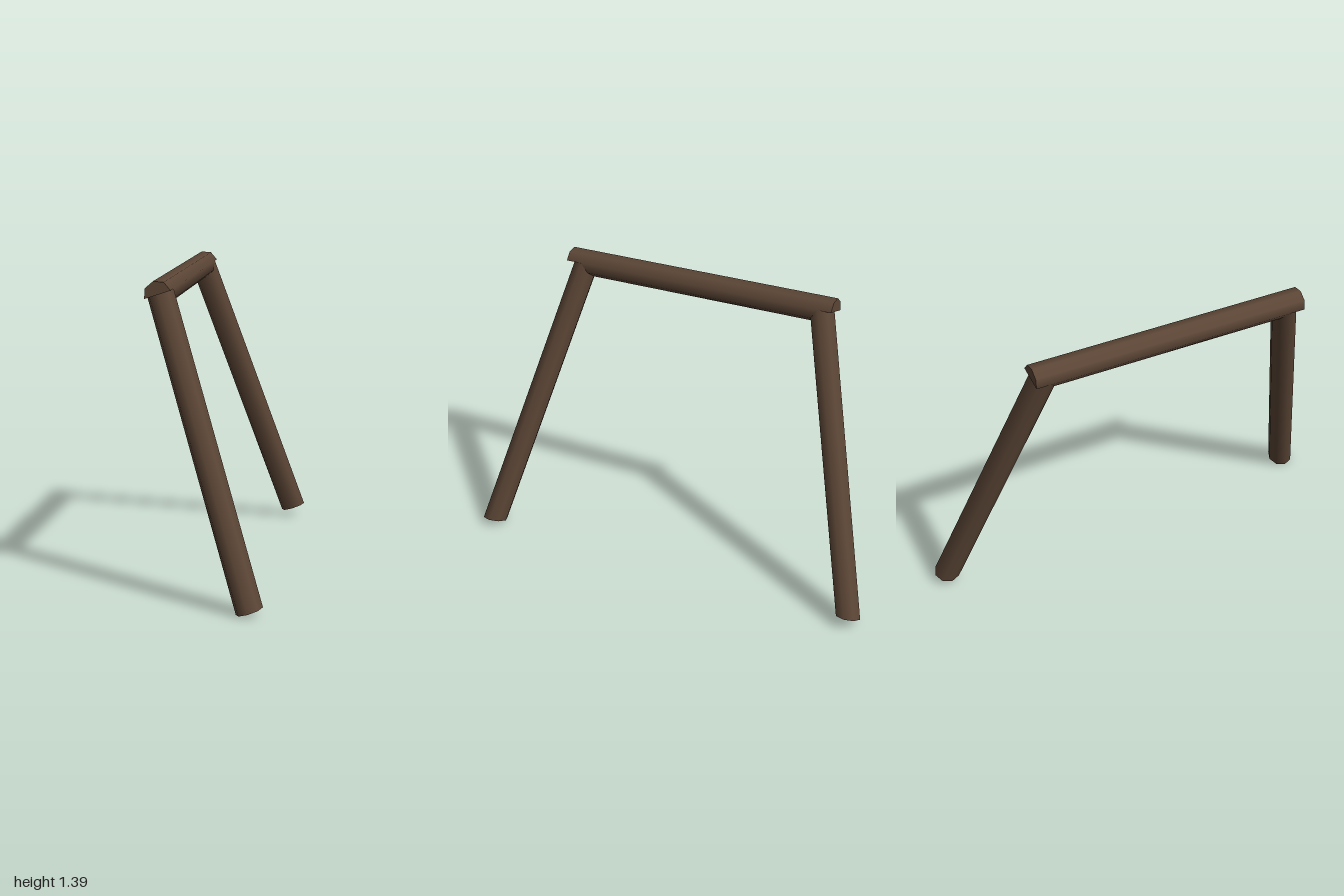
import * as THREE from 'three';
import { mergeGeometries } from 'three/addons/utils/BufferGeometryUtils.js';

const R = 0.06, SIDES = 8;
const wood = new THREE.MeshStandardMaterial({ color: 0x5c4636 });
wood.name = 'dark brown wood';

// The whole frame leans in the x-y plane: across and up are its own axes
const LEAN = Math.atan2(0.42, 1.289);
const across = new THREE.Vector3(Math.cos(LEAN), Math.sin(LEAN), 0);
const up = new THREE.Vector3(-Math.sin(LEAN), Math.cos(LEAN), 0);

// Slanted log whose cut ends stay square to the leaning frame
function makeLeg(name, top, bottom) {
  const axis = top.clone().sub(bottom);
  const m = new THREE.Matrix4().makeBasis(across, axis, new THREE.Vector3(0, 0, 1));
  m.setPosition(top.clone().add(bottom).multiplyScalar(0.5));
  const mesh = new THREE.Mesh(new THREE.CylinderGeometry(R, R, 1, SIDES).applyMatrix4(m), wood);
  mesh.name = name;
  return mesh;
}

// Crossbar: full-length upper half, lower half notched around the leg tops
function makeCrossbar(frontLegZ, backLegZ) {
  const length = 1.335, midZ = 0.0225;
  const upper = new THREE.CylinderGeometry(R, R, length, SIDES / 2, 1, false, Math.PI / 2, Math.PI);
  const underside = new THREE.PlaneGeometry(2 * R, length);
  const lower = new THREE.CylinderGeometry(R, R, length, SIDES / 2, 1, true, -Math.PI / 2, Math.PI);

  // Saddle-shaped ends follow the inner faces of the legs
  const p = lower.attributes.position;
  for (let i = 0; i < p.count; i++) {
    const x = p.getX(i), depth = p.getZ(i);
    const inset = Math.sqrt(Math.max(0, R * R - x * x)) - 0.24 * depth;
    p.setY(i, p.getY(i) > 0 ? frontLegZ - midZ - inset : backLegZ - midZ + inset);
  }

  const along = new THREE.Vector3(0, -0.03 / length, 1);
  const m = new THREE.Matrix4().makeBasis(across, along, up.clone().negate());
  m.setPosition(-0.2125, 1.323, midZ);
  const mesh = new THREE.Mesh(mergeGeometries([upper, underside, lower]).applyMatrix4(m), wood);
  mesh.name = 'crossbar';
  return mesh;
}

export function createModel() {
  const group = new THREE.Group();
  group.name = 'logFrame';
  const V = (x, y, z) => new THREE.Vector3(x, y, z);
  group.add(
    makeLeg('frontLeg', V(-0.2125, 1.309, 0.615), V(0.2125, 0.02, 0.94)),
    makeLeg('backLeg', V(-0.2125, 1.336, -0.58), V(0.204, 0.045, -0.94)),
    makeCrossbar(0.615, -0.58),
  );
  return group;
}
